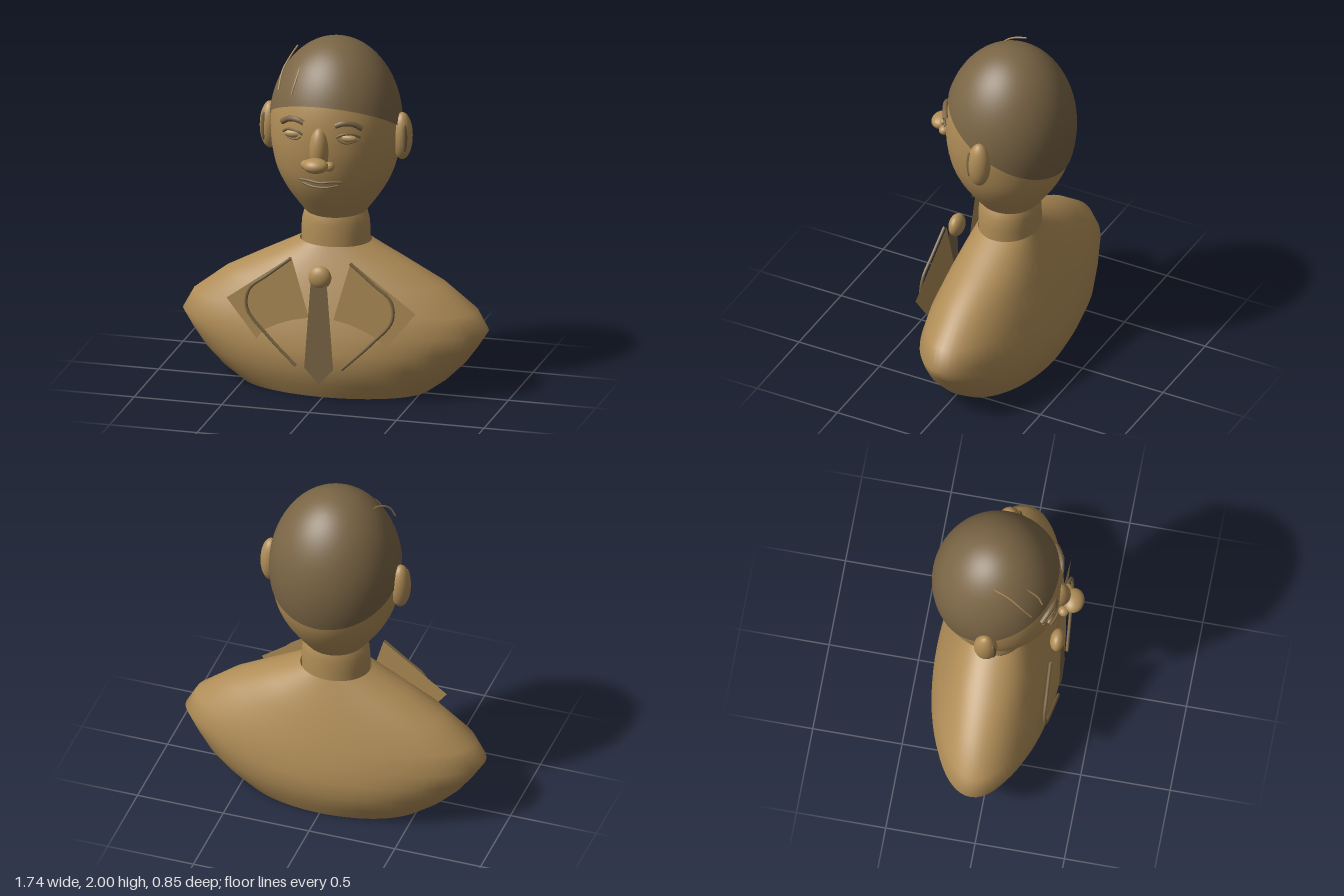
import * as THREE from 'three';
import { mergeVertices } from 'three/addons/utils/BufferGeometryUtils.js';

const CZ = -0.05; // depth of the body's vertical axis

export function createModel() {
  const model = new THREE.Group();
  model.name = 'bust';
  const mat = (name, color) => {
    const m = new THREE.MeshStandardMaterial({ color });
    m.name = name;
    m.side = THREE.DoubleSide;
    return m;
  };
  const bronze = mat('bronze', 0xb08d57);
  const dark = mat('dark bronze', 0x7a6545);

  const add = (name, geometry, material, x = 0, y = 0, z = 0) => {
    const mesh = new THREE.Mesh(geometry, material);
    mesh.name = name;
    mesh.position.set(x, y, z);
    model.add(mesh);
    return mesh;
  };
  const ball = (name, material, [x, y, z], [rx, ry, rz]) =>
    add(name, new THREE.SphereGeometry(1, 32, 20).scale(rx, ry, rz), material, x, y, z);
  const tube = (name, material, points, radius, flip = 1) => {
    const curve = new THREE.CatmullRomCurve3(points.map(([x, y, z]) => new THREE.Vector3(x * flip, y, z)));
    return add(name, new THREE.TubeGeometry(curve, 32, radius, 8), material);
  };
  const plate = (name, material, points, z) =>
    add(name, new THREE.ShapeGeometry(new THREE.Shape(points.map(([x, y]) => new THREE.Vector2(x, y)))), material, 0, 0, z);

  // Elliptic loft through rows of [half width, height, half depth]
  const loft = (name, rows) => {
    let g = new THREE.LatheGeometry(rows.map(([x, y]) => new THREE.Vector2(x, y)), 64);
    const p = g.attributes.position;
    for (let i = 0; i < p.count; i++) {
      const [rx, , rz] = rows[i % rows.length];
      if (rx > 0) p.setZ(i, p.getZ(i) * rz / rx);
    }
    g.deleteAttribute('uv');
    g.deleteAttribute('normal');
    g = mergeVertices(g);
    g.computeVertexNormals();
    return add(name, g, bronze, 0, 0, CZ);
  };

  // Torso, open underneath, and neck
  loft('torso', [
    [0.53, 0, 0.275], [0.64, 0.08, 0.315], [0.74, 0.18, 0.35], [0.81, 0.275, 0.347], [0.87, 0.37, 0.33],
    [0.81, 0.48, 0.302], [0.63, 0.62, 0.255], [0.42, 0.73, 0.215], [0.2, 0.84, 0.17],
  ]);
  loft('neck', [[0.19, 0.82, 0.17], [0.192, 0.9, 0.17], [0.187, 0.96, 0.168], [0.17, 1.02, 0.162], [0.14, 1.05, 0.14]]);

  // Head: tapered jaw below, half ellipse above
  const jaw = new THREE.SplineCurve([
    [0.001, 0.975], [0.08, 0.975], [0.145, 0.988], [0.2, 1.05], [0.277, 1.16], [0.328, 1.27], [0.355, 1.4], [0.36, 1.51],
  ].map(([x, y]) => new THREE.Vector2(x, y))).getPoints(28);
  const head = jaw.map(p => [p.x, p.y, p.x * 0.98]);
  for (let i = 1; i <= 14; i++) {
    const a = i / 14 * Math.PI / 2;
    const r = Math.max(0.36 * Math.cos(a), 0.001);
    head.push([r, 1.51 + 0.475 * Math.sin(a), r * 0.98]);
  }
  loft('head', head);

  // Hair cap: a dome tilted back, shorter below its centre
  const cap = new THREE.SphereGeometry(1, 64, 28, 0, Math.PI * 2, 0, Math.PI / 2).rotateX(-0.4);
  const cp = cap.attributes.position;
  for (let i = 0; i < cp.count; i++) {
    const y = cp.getY(i);
    cp.setXYZ(i, cp.getX(i) * 0.368, y * (y > 0 ? 0.49 : 0.52), cp.getZ(i) * 0.366);
  }
  cap.computeVertexNormals();
  add('hairCap', cap, dark, 0, 1.51, CZ - 0.003);
  tube('looseStrand', bronze, [[-0.265, 1.75, 0.18], [-0.258, 1.84, 0.12], [-0.235, 1.9, 0.05], [-0.215, 1.94, -0.035]], 0.005);
  tube('shortStrand', bronze, [[-0.178, 1.74, 0.225], [-0.165, 1.8, 0.2], [-0.155, 1.87, 0.135]], 0.005);

  // Nose
  ball('noseBridge', bronze, [0, 1.455, 0.29], [0.055, 0.13, 0.062]);
  ball('noseTip', bronze, [0, 1.39, 0.37], [0.072, 0.042, 0.058]);

  // Mouth
  tube('upperLip', dark, [[-0.12, 1.27, 0.262], [-0.06, 1.272, 0.285], [0, 1.267, 0.294], [0.06, 1.272, 0.285], [0.12, 1.27, 0.262]], 0.007);
  tube('lowerLip', dark, [[-0.1, 1.249, 0.262], [-0.05, 1.241, 0.283], [0, 1.238, 0.288], [0.05, 1.241, 0.283], [0.1, 1.249, 0.262]], 0.006);

  // Paired features
  for (const s of [1, -1]) {
    const side = s > 0 ? 'left' : 'right';
    ball(side + 'Nostril', bronze, [s * 0.065, 1.377, 0.325], [0.031, 0.027, 0.03]);
    ball(side + 'Ear', bronze, [s * 0.378, 1.463, -0.055], [0.057, 0.135, 0.065]);
    ball(side + 'InnerEar', dark, [s * 0.403, 1.467, -0.008], [0.016, 0.082, 0.016]);
    ball(side + 'Eye', bronze, [s * 0.158, 1.53, 0.266], [0.05, 0.022, 0.02]);
    tube(side + 'UpperLid', dark, [[0.095, 1.535, 0.288], [0.125, 1.553, 0.287], [0.16, 1.558, 0.276], [0.195, 1.55, 0.257], [0.22, 1.532, 0.238]], 0.007, s);
    tube(side + 'LowerLid', dark, [[0.105, 1.524, 0.288], [0.13, 1.508, 0.285], [0.16, 1.503, 0.272], [0.19, 1.509, 0.257], [0.212, 1.522, 0.242]], 0.005, s);
    tube(side + 'Brow', dark, [[0.09, 1.602, 0.283], [0.13, 1.617, 0.278], [0.18, 1.613, 0.258], [0.228, 1.584, 0.232]], 0.016, s);

    // Flat lapel and its raised edge
    plate(side + 'Lapel', bronze, [[0.17, 0.81], [0.54, 0.54], [0.27, 0.19], [0.04, 0.36]].map(([x, y]) => [s * x, y]), 0.255);
    tube(side + 'LapelPiping', dark, [[0.17, 0.805, 0.27], [0.3, 0.7, 0.275], [0.405, 0.61, 0.28], [0.415, 0.5, 0.287], [0.3, 0.36, 0.296], [0.13, 0.197, 0.307]], 0.009, s);
  }

  // Tie
  plate('tieBlade', dark, [[-0.045, 0.7], [-0.083, 0.19], [0, 0.1], [0.083, 0.19], [0.045, 0.7]], 0.304);
  ball('tieKnot', bronze, [0, 0.713, 0.28], [0.065, 0.066, 0.042]);

  return model;
}
